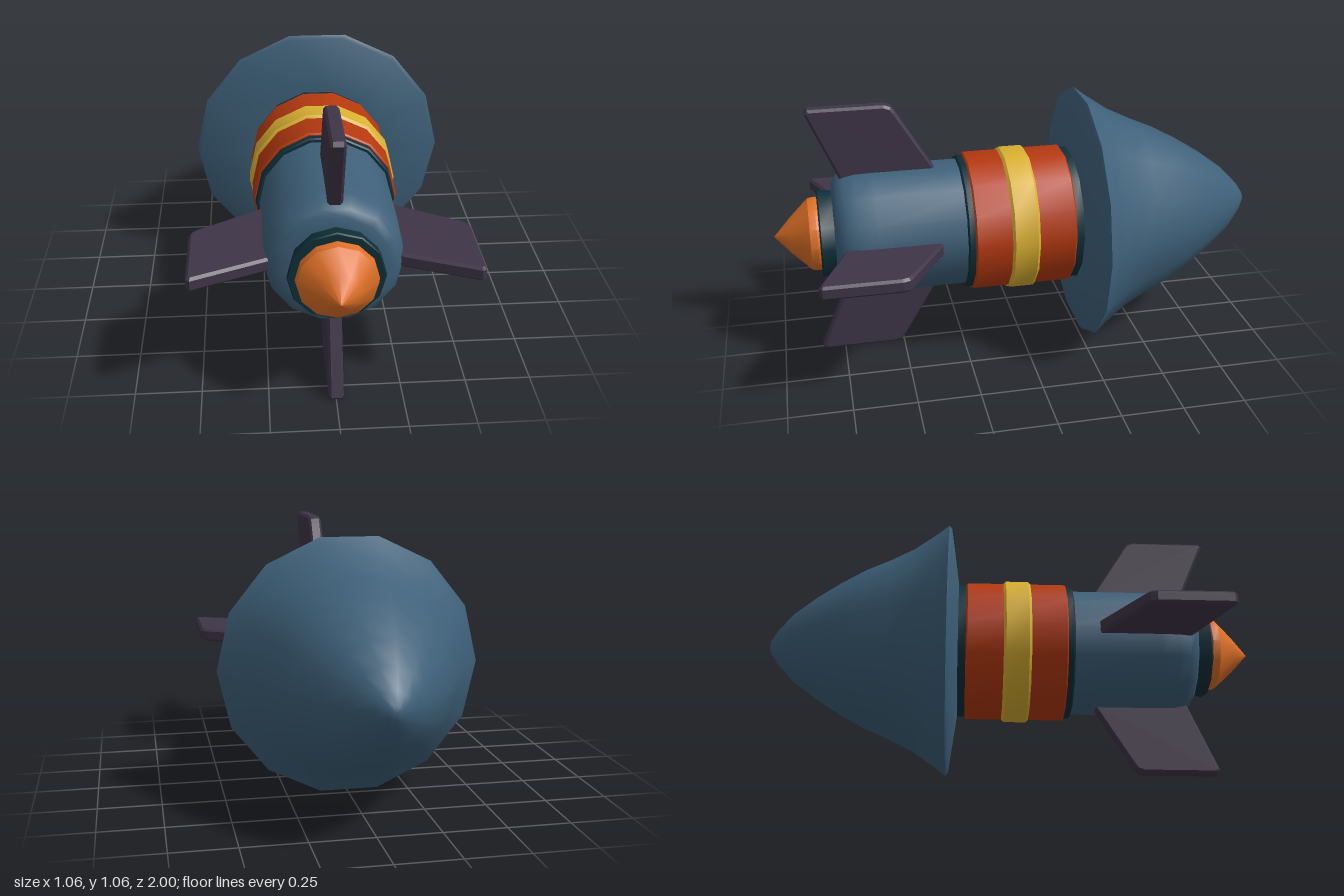
import * as THREE from 'three';
import { toCreasedNormals } from 'three/addons/utils/BufferGeometryUtils.js';

const AXIS_Y = 0.53;

function material(name, color) {
  const m = new THREE.MeshStandardMaterial({ color });
  m.name = name;
  return m;
}

// Turned part around the z axis; profile is [radius, z], from back (-z) to front (+z)
function turned(name, profile, mat, sides = 14) {
  const points = profile.map(([r, z]) => new THREE.Vector2(r, z));
  const geo = new THREE.LatheGeometry(points, sides, Math.PI / 2);
  geo.rotateX(Math.PI / 2);
  const mesh = new THREE.Mesh(toCreasedNormals(geo, 0.6), mat);
  mesh.name = name;
  return mesh;
}

// Closed ring band with small bevels
function band(name, r, z0, z1, bevel, mat) {
  return turned(name, [
    [0, z0], [r - bevel, z0], [r, z0 + bevel], [r, z1 - bevel], [r - bevel, z1], [0, z1],
  ], mat);
}

export function createModel() {
  const blue = material('steel blue', 0x3e6079);
  const red = material('red orange', 0xb5390f);
  const yellow = material('yellow', 0xdab032);
  const teal = material('dark teal', 0x0f2f39);
  const plum = material('dark plum', 0x3e3447);
  const orange = material('flame orange', 0xde7026);

  const model = new THREE.Group();
  model.name = 'rocket';
  const hull = new THREE.Group();
  hull.name = 'hull';
  hull.position.y = AXIS_Y;
  model.add(hull);

  // Flared nose cone with a shallow underside
  hull.add(turned('noseCone', [
    [0, -1], [0.025, -0.995], [0.07, -0.965], [0.14, -0.9], [0.215, -0.8], [0.278, -0.7],
    [0.333, -0.6], [0.376, -0.5], [0.425, -0.4], [0.49, -0.305], [0.525, -0.26],
    [0.51, -0.25], [0.28, -0.218], [0, -0.218],
  ], blue));

  // Bands around the middle
  hull.add(band('rearCollar', 0.278, -0.23, -0.17, 0.006, teal));
  hull.add(band('redBand', 0.288, -0.187, 0.222, 0.006, red));
  hull.add(band('yellowBand', 0.298, -0.038, 0.078, 0.012, yellow));
  hull.add(band('frontCollar', 0.278, 0.2, 0.25, 0.006, teal));

  // Body with a rounded engine end
  hull.add(turned('body', [
    [0, 0.2], [0.262, 0.2], [0.262, 0.6], [0.26, 0.67], [0.25, 0.715],
    [0.232, 0.742], [0.205, 0.757], [0.16, 0.763], [0, 0.763],
  ], blue));

  // Nozzle and flame
  hull.add(turned('nozzle', [
    [0, 0.73], [0.16, 0.73], [0.17, 0.765], [0.178, 0.815], [0.174, 0.821], [0, 0.821],
  ], teal, 12));
  hull.add(turned('flame', [
    [0, 0.8], [0.142, 0.8], [0.15, 0.83], [0.146, 0.858], [0.075, 0.932], [0, 1],
  ], orange, 12));

  // Four swept fins: outline is [radius, z]
  const outline = [
    [0.235, 0.335], [0.5, 0.493], [0.52, 0.508], [0.53, 0.535],
    [0.53, 0.83], [0.515, 0.843], [0.235, 0.725],
  ];
  const bevel = 0.01;
  const finGeo = new THREE.ExtrudeGeometry(
    new THREE.Shape(outline.map(([r, z]) => new THREE.Vector2(r, z))),
    { depth: 0.056 - 2 * bevel, bevelEnabled: true, bevelSegments: 1,
      bevelSize: bevel, bevelThickness: bevel, bevelOffset: -bevel },
  );
  finGeo.translate(0, 0, -0.028 + bevel);
  finGeo.rotateX(Math.PI / 2);
  ['leftFin', 'topFin', 'rightFin', 'bottomFin'].forEach((name, i) => {
    const fin = new THREE.Mesh(finGeo, plum);
    fin.name = name;
    fin.rotation.z = i * Math.PI / 2;
    hull.add(fin);
  });

  return model;
}
